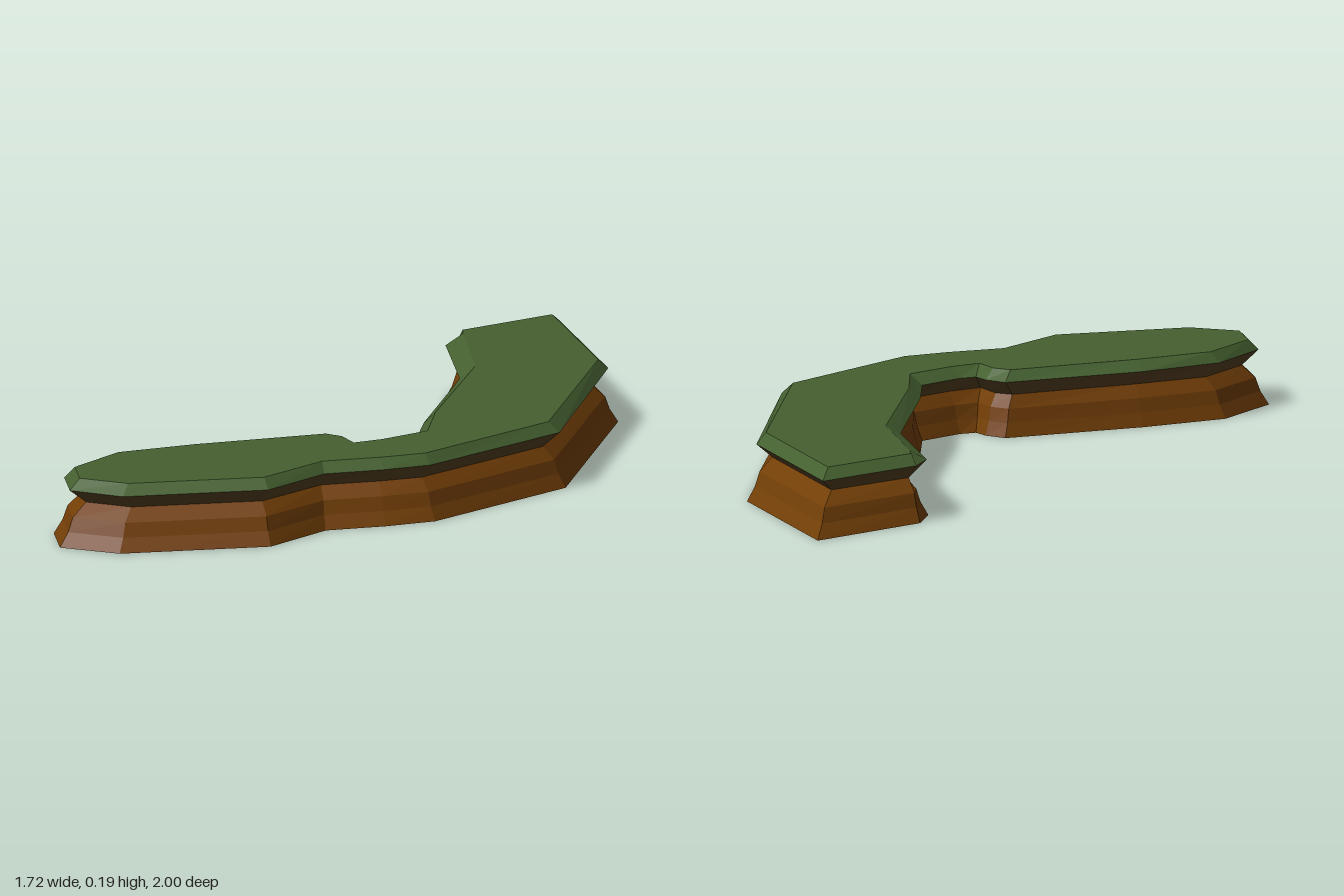
import * as THREE from 'three';

// Outline corners, clockwise from above: foot x, foot z, rim x, rim z,
// and where the lip sits between foot (0) and rim (1)
const OUTLINE = [
  [0.775, -1.0, 0.725, -0.895, 0.5],   // pointed far end
  [0.86, -0.39, 0.80, -0.36, 0.5],
  [0.632, 0.362, 0.585, 0.347, 0.35],
  [0.225, 0.712, 0.20, 0.675, 0.45],
  [0.08, 0.755, 0.07, 0.71, 0.4],
  [-0.093, 0.786, -0.098, 0.738, 0.4],
  [-0.267, 0.957, -0.28, 0.907, 0.4],
  [-0.70, 0.995, -0.67, 0.94, 0.4],    // rounded near end
  [-0.86, 0.907, -0.80, 0.865, 0.5],
  [-0.86, 0.738, -0.80, 0.733, 0.5],
  [-0.70, 0.553, -0.66, 0.574, 0.4],
  [-0.447, 0.474, -0.437, 0.505, 0],
  [-0.034, 0.389, -0.055, 0.42, 0],    // notch
  [0.013, 0.437, -0.012, 0.455, 0],
  [0.032, 0.484, 0.013, 0.532, 0],
  [0.08, 0.474, 0.098, 0.50, 0],
  [0.204, 0.394, 0.235, 0.415, 0],
  [0.246, 0.204, 0.278, 0.209, 0],     // inner side of the long arm
  [0.396, -0.294, 0.447, -0.32, 0.08],
  [0.396, -0.685, 0.452, -0.70, 0.08],
  [0.442, -0.80, 0.455, -0.742, 0.45],
];

// Ring at height y, moved from foot towards rim by t (or to the lip)
function ring(y, t) {
  return OUTLINE.map(([bx, bz, rx, rz, lip]) => {
    const k = t === 'lip' ? lip : t;
    return new THREE.Vector3(bx + (rx - bx) * k, y, bz + (rz - bz) * k);
  });
}

// Faceted wall through a stack of rings, optionally closed on top
function shell(name, rings, material, capped) {
  const points = [];
  for (let r = 0; r < rings.length - 1; r++) {
    const lo = rings[r], hi = rings[r + 1];
    lo.forEach((p, i) => {
      const j = (i + 1) % lo.length;
      points.push(lo[j], p, hi[i], lo[j], hi[i], hi[j]);
    });
  }
  if (capped) {
    const top = rings[rings.length - 1];
    const flat = top.map((p) => new THREE.Vector2(p.x, -p.z));
    for (const [a, b, c] of THREE.ShapeUtils.triangulateShape(flat, [])) {
      const up = THREE.ShapeUtils.area([flat[a], flat[b], flat[c]]) > 0;
      points.push(top[a], top[up ? b : c], top[up ? c : b]);
    }
  }
  const geometry = new THREE.BufferGeometry().setFromPoints(points);
  geometry.computeVertexNormals();
  const mesh = new THREE.Mesh(geometry, material);
  mesh.name = name;
  return mesh;
}

function flatColour(name, color) {
  const material = new THREE.MeshStandardMaterial({ color, flatShading: true, side: THREE.DoubleSide });
  material.name = name;
  return material;
}

export function createModel() {
  const grass = flatColour('grass green', 0x456030);
  const soil = flatColour('dark soil', 0x5a4423);
  const earth = flatColour('earth brown', 0x733f07);

  const lip = ring(0.16, 'lip');
  const neck = ring(0.117, 1.33);

  const model = new THREE.Group();
  model.name = 'plateau';
  // Hollow earth bank, open underneath
  model.add(shell('earthBank', [ring(0, 0), ring(0.04, 0.42), ring(0.08, 0.66), neck], earth, false));
  // Soil on the underside of the overhang
  model.add(shell('overhang', [neck, lip], soil, false));
  // Grass with a bevelled rim
  model.add(shell('grassTop', [lip, ring(0.19, 1)], grass, true));
  return model;
}
